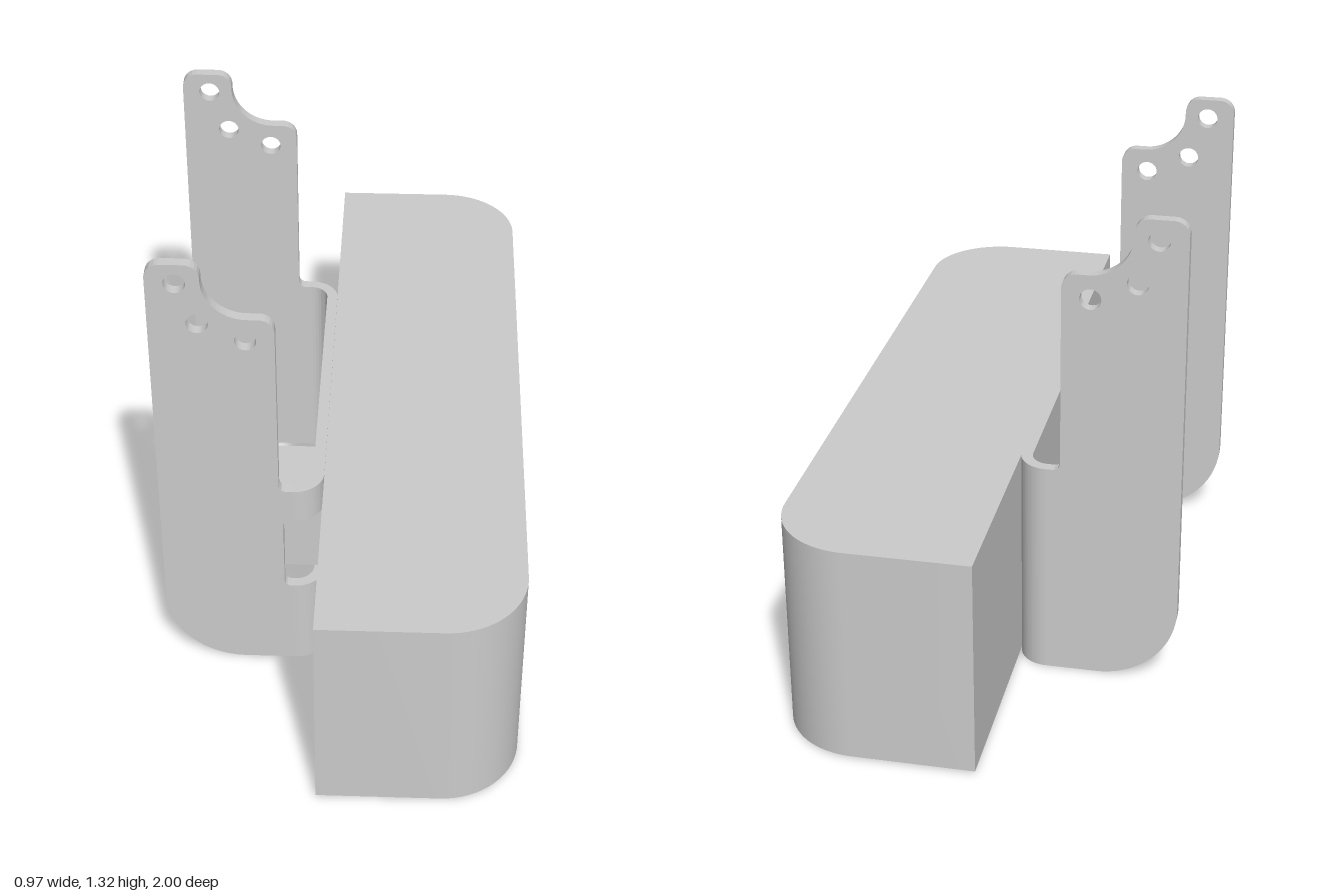
import * as THREE from 'three';
import { toCreasedNormals } from 'three/addons/utils/BufferGeometryUtils.js';

const T = 0.03;                       // sheet thickness
const WEB_X = -0.05;                  // contact plane between bracket and body
const BEND = { x: -0.13, z: 0.41, r: 0.08 };
const TOP = 0.605;                    // bracket web height
const SLOT = { y0: 0.27, y1: 0.505, x: -0.157, z: 0.13, r: 0.02 };

export function createModel() {
  const group = new THREE.Group();
  const material = new THREE.MeshStandardMaterial({ color: 0xcccccc });

  const add = (name, geometry) => {
    const mesh = new THREE.Mesh(geometry, material);
    mesh.name = name;
    group.add(mesh);
  };
  const extrude = (shape, depth) => toCreasedNormals(
    new THREE.ExtrudeGeometry(shape, { depth, bevelEnabled: false, curveSegments: 12 }), 0.5);
  // Plan shapes are drawn as (x, -z) and raised along y
  const raise = (shape, y0, y1) => extrude(shape, y1 - y0).rotateX(-Math.PI / 2).translate(0, y0, 0);

  // Slot edge on the right side of a sheet: from (edge, y0) in to u and back to (edge, y1)
  const cutSlot = (shape, edge, u) => {
    const { y0, y1, r } = SLOT;
    shape.lineTo(edge, y0);
    shape.lineTo(u + r, y0);
    shape.absarc(u + r, y0 + r, r, -Math.PI / 2, -Math.PI, true);
    shape.lineTo(u, y1 - r);
    shape.absarc(u + r, y1 - r, r, Math.PI, Math.PI / 2, true);
    shape.lineTo(edge, y1);
  };

  // Main body: block with two rounded vertical edges
  const body = new THREE.Shape();
  const R = 0.21, bx = 0.482;
  body.moveTo(WEB_X, -1);
  body.lineTo(bx - R, -1);
  body.absarc(bx - R, -1 + R, R, -Math.PI / 2, 0, false);
  body.lineTo(bx, 1 - R);
  body.absarc(bx - R, 1 - R, R, 0, Math.PI / 2, false);
  body.lineTo(WEB_X, 1);
  body.closePath();
  add('body', raise(body, 0.005, 0.602));

  // Connector block reaching out through the slot
  const block = new THREE.BoxGeometry(0.21, 0.2, 0.27);
  block.translate(-0.155, 0.385, 0.285);
  add('connectorBlock', block);

  // Bracket side plates
  const sidePlate = (slotted) => {
    const s = new THREE.Shape();
    s.moveTo(-0.27, 0);
    s.lineTo(BEND.x, 0);
    if (slotted) cutSlot(s, BEND.x, SLOT.x);
    s.lineTo(BEND.x, TOP);
    s.lineTo(-0.147, TOP);
    s.absarc(-0.147, TOP + 0.02, 0.02, -Math.PI / 2, -Math.PI, true);
    s.lineTo(-0.167, 1.12);
    s.absarc(-0.207, 1.12, 0.04, 0, Math.PI / 2, false);
    s.lineTo(-0.235, 1.16);
    s.absarc(-0.235, 1.273, 0.113, -Math.PI / 2, -Math.PI, true);
    s.lineTo(-0.348, 1.28);
    s.absarc(-0.388, 1.28, 0.04, 0, Math.PI / 2, false);
    s.lineTo(-0.445, 1.32);
    s.absarc(-0.445, 1.28, 0.04, Math.PI / 2, Math.PI, false);
    s.lineTo(-0.485, 0.215);
    s.absarc(-0.27, 0.215, 0.215, Math.PI, Math.PI * 1.5, false);
    for (const [x, y] of [[-0.411, 1.265], [-0.36, 1.145], [-0.241, 1.095]]) {
      const hole = new THREE.Path();
      hole.absarc(x, y, 0.028, 0, Math.PI * 2, true);
      s.holes.push(hole);
    }
    return extrude(s, T);
  };
  add('frontSidePlate', sidePlate(true).translate(0, 0, 0.46));
  add('rearSidePlate', sidePlate(false).translate(0, 0, -0.49));

  // Quarter-round bends joining the web to the side plates
  const bend = (side) => {
    const s = new THREE.Shape();
    const cy = -side * BEND.z, end = -side * Math.PI / 2;
    s.absarc(BEND.x, cy, BEND.r, 0, end, side > 0);
    s.absarc(BEND.x, cy, BEND.r - T, end, 0, side < 0);
    s.closePath();
    return s;
  };
  add('frontBendLower', raise(bend(1), 0, SLOT.y0));
  add('frontBendUpper', raise(bend(1), SLOT.y1, TOP));
  add('rearBend', raise(bend(-1), 0, TOP));

  // Bracket web, drawn as (z, y) and open at the slot
  const web = new THREE.Shape();
  web.moveTo(-BEND.z, 0);
  web.lineTo(BEND.z, 0);
  cutSlot(web, BEND.z, SLOT.z);
  web.lineTo(BEND.z, TOP);
  web.lineTo(-BEND.z, TOP);
  web.closePath();
  add('bracketWeb', extrude(web, T).rotateY(-Math.PI / 2).translate(WEB_X, 0, 0));

  return group;
}
